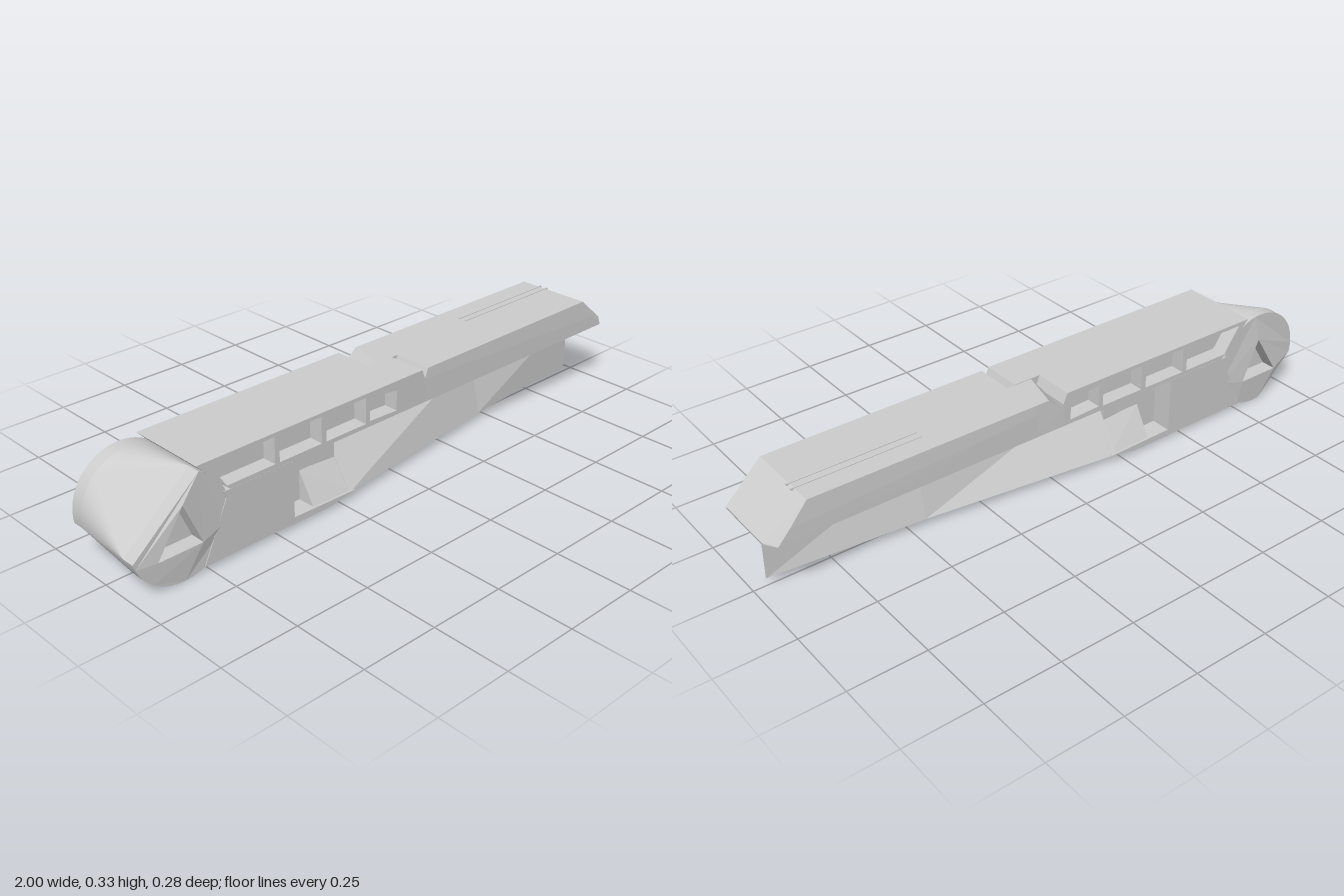
import * as THREE from 'three';
import { ConvexGeometry } from 'three/addons/geometries/ConvexGeometry.js';

const grey = new THREE.MeshStandardMaterial({ color: 0xcccccc });
grey.name = 'plain grey';

export function createModel() {
  const root = new THREE.Group();
  const V = (x, y, z) => new THREE.Vector3(x, y, z);
  const add = (name, geo) => {
    const m = new THREE.Mesh(geo, grey);
    m.name = name;
    root.add(m);
    return m;
  };
  const box = (name, x0, x1, y0, y1, z0, z1) =>
    add(name, new THREE.BoxGeometry(x1 - x0, y1 - y0, z1 - z0))
      .position.set((x0 + x1) / 2, (y0 + y1) / 2, (z0 + z1) / 2);
  const outline = (pts) => new THREE.Shape(pts.map(([x, y]) => new THREE.Vector2(x, y)));
  // Side profile extruded between two depths
  const slab = (shape, z0, z1) =>
    new THREE.ExtrudeGeometry(shape, { depth: z1 - z0, bevelEnabled: false, curveSegments: 48 }).translate(0, 0, z0);

  // Round head: cut across its upper front on the left and its lower front on the right
  const cx = -0.835, cy = 0.165, r = 0.165, rad = Math.PI / 180;
  const arcs = { '1': [-165, 65], '-1': [-100, 190] };
  const hullPoints = [];
  for (const s of [1, -1]) {
    const [a0, a1] = arcs[s];
    const face = new THREE.Shape().absarc(cx, cy, r, a0 * rad, a1 * rad);
    hullPoints.push(...face.getPoints(48).map((p) => V(p.x, p.y, s * 0.09)));
    // Triangular pocket with a slightly raised rim
    face.holes.push(outline([[cx - 0.085, 0.1], [cx + 0.005, 0.24], [cx + 0.065, 0.1]]));
    const geo = s > 0 ? slab(face, 0.09, 0.133) : slab(face, -0.133, -0.09);
    const p = geo.attributes.position;
    for (let i = 0; i < p.count; i++) {
      const d = Math.hypot(p.getX(i) - cx, p.getY(i) - cy);
      if (d < 0.11 && Math.abs(p.getZ(i)) > 0.12) p.setZ(i, s * 0.141);
    }
    geo.computeVertexNormals();
    add(s > 0 ? 'headFaceLeft' : 'headFaceRight', geo);
  }
  add('headCore', new ConvexGeometry(hullPoints));

  // Lower housing and its tapering floor
  add('housing', slab(outline([[-0.765, 0.015], [-0.44, 0.015], [-0.44, 0.222], [-0.69, 0.222], [-0.68, 0.2]]), -0.1355, 0.1355));
  add('housingFloor', new ConvexGeometry([1, -1].flatMap((s) => [
    V(-0.45, 0.012, s * 0.134), V(-0.45, 0.035, s * 0.134),
    V(-0.3, 0.012, s * 0.134), V(-0.2, 0.03, s * 0.134), V(-0.2, 0.02, s * 0.1),
  ])));
  box('sliderBlock', -0.45, -0.22, 0.02, 0.223, -0.065, 0.065);
  // Heel of the blade, lapping the slider block
  add('bladeHeel', new ConvexGeometry([1, -1].flatMap((s) => [
    V(-0.36, 0.028, s * 0.128), V(-0.2, 0.028, s * 0.128),
    V(-0.36, 0.13, s * 0.067), V(-0.21, 0.13, s * 0.06),
  ])));

  // Front half of the upper rail: core with windowed side plates
  const windows = [
    [[-0.735, 0.322], [-0.505, 0.322], [-0.505, 0.236], [-0.675, 0.236]],
    [[-0.488, 0.322], [-0.33, 0.322], [-0.33, 0.236], [-0.488, 0.236]],
    [[-0.312, 0.322], [-0.155, 0.322], [-0.155, 0.236], [-0.312, 0.236]],
    [[-0.138, 0.316], [-0.027, 0.303], [-0.027, 0.236], [-0.138, 0.24]],
  ];
  const railSide = (end) => outline([
    [-0.68, 0.235], [-0.665, 0.222], [end, 0.222], [end, 0.3], [end - 0.014, 0.334], [-0.775, 0.334],
  ]);
  for (const s of [1, -1]) {
    const end = s > 0 ? 0.096 : 0.001;
    const inner = railSide(end), outer = railSide(end);
    outer.holes.push(...windows.map((w) => outline(w)));
    add('frontRailCore', slab(inner, s > 0 ? 0 : -0.085, s > 0 ? 0.085 : 0));
    add('frontRailPlate', slab(outer, s > 0 ? 0.085 : -0.135, s > 0 ? 0.135 : -0.085));
  }

  // Rear half of the upper rail with a sloped, chamfered tip
  add('rearRail', new ConvexGeometry([1, -1].flatMap((s) => [
    V(0.095, 0.222, s * 0.135), V(0.095, 0.3, s * 0.134), V(0.11, 0.332, s * 0.132),
    V(0.87, 0.332, s * 0.13), V(0.93, 0.265, s * 0.134),
    V(0.97, 0.222, s * 0.135), V(0.998, 0.222, s * 0.105), V(1, 0.232, s * 0.105),
  ])));
  // Interlocking tongue, with its rim cut down at the joint
  add('railTongue', new ConvexGeometry([
    V(0, 0.222, 0), V(0, 0.222, -0.135), V(0, 0.28, -0.134), V(0.02, 0.332, 0), V(0, 0.305, 0),
    V(0.055, 0.332, -0.132), V(0.12, 0.332, 0), V(0.12, 0.332, -0.132),
    V(0.12, 0.222, 0), V(0.12, 0.222, -0.135),
  ]));
  for (const z of [-0.062, -0.035]) box('topRib', 0.46, 0.88, 0.328, 0.334, z - 0.003, z + 0.003);

  // Wedge blade lofted from triangular sections, tapering to a thin end
  const sections = [[-0.22, 0.131], [0.45, 0.045], [0.957, 0.002]].map(([x, w]) =>
    [V(x, 0.026, w), V(x, 0.222, 0.001), V(x, 0.222, -0.001), V(x, 0.026, -w)]);
  const tri = [];
  const quad = (a, b, c, d) => tri.push(a, b, c, a, c, d);
  for (let i = 0; i < sections.length - 1; i++) {
    const [A, B] = [sections[i], sections[i + 1]];
    for (let k = 0; k < 4; k++) quad(A[k], B[k], B[(k + 1) % 4], A[(k + 1) % 4]);
  }
  quad(...sections[0]);
  quad(...[...sections[2]].reverse());
  const blade = new THREE.BufferGeometry().setFromPoints(tri);
  blade.computeVertexNormals();
  add('blade', blade);

  return root;
}
